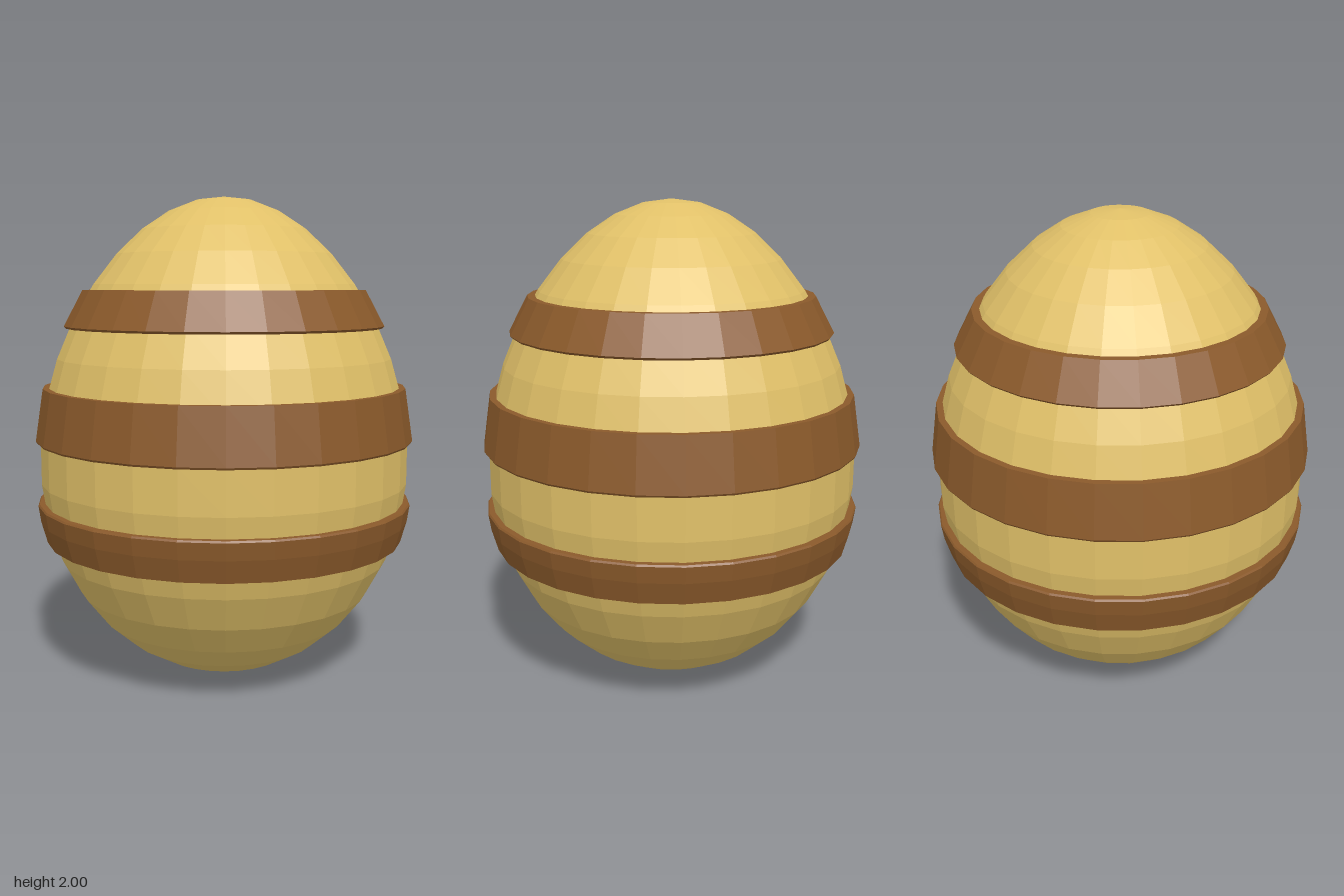
import * as THREE from 'three';

const SIDES = 28;
const RINGS = 18;

// Faceted solid of revolution from [radius, height] points, listed bottom to top on the outside
function turned(name, points, material) {
  const lathe = new THREE.LatheGeometry(points.map(([r, y]) => new THREE.Vector2(r, y)), SIDES);
  const geometry = lathe.toNonIndexed();
  geometry.computeVertexNormals();
  const mesh = new THREE.Mesh(geometry, material);
  mesh.name = name;
  return mesh;
}

// Egg radius at c = height above the middle (-1 to 1): broad below, narrow above
const eggRadius = (c) => Math.sqrt(Math.max(0, 1 - c * c)) * (0.77 - 0.075 * c - 0.03 * c * c);

export function createModel() {
  const shellTan = new THREE.MeshStandardMaterial({ color: 0xe0c068 });
  shellTan.name = 'shellTan';
  const bandBrown = new THREE.MeshStandardMaterial({ color: 0x8b5a2b });
  bandBrown.name = 'bandBrown';

  const model = new THREE.Group();
  model.name = 'bandedEgg';

  // Egg body
  const profile = [];
  for (let i = 0; i <= RINGS; i++) {
    const c = -Math.cos((i / RINGS) * Math.PI);
    profile.push([eggRadius(c), 1 + c]);
  }
  model.add(turned('eggShell', profile, shellTan));

  // Raised bands: outer profile from bottom to top, closed inside the shell
  const bands = [
    ['lowerBand', [[0.752, 0.58], [0.777, 0.67], [0.787, 0.738], [0.782, 0.745]]],
    ['middleBand', [[0.785, 1.0], [0.79, 1.008], [0.757, 1.222]]],
    ['upperBand', [[0.658, 1.465], [0.666, 1.474], [0.588, 1.62]]],
  ];
  for (const [name, outer] of bands) {
    const bottom = outer[0];
    const top = outer[outer.length - 1];
    const start = [bottom[0] - 0.08, bottom[1]];
    model.add(turned(name, [start, ...outer, [top[0] - 0.08, top[1]], start], bandBrown));
  }
  return model;
}
